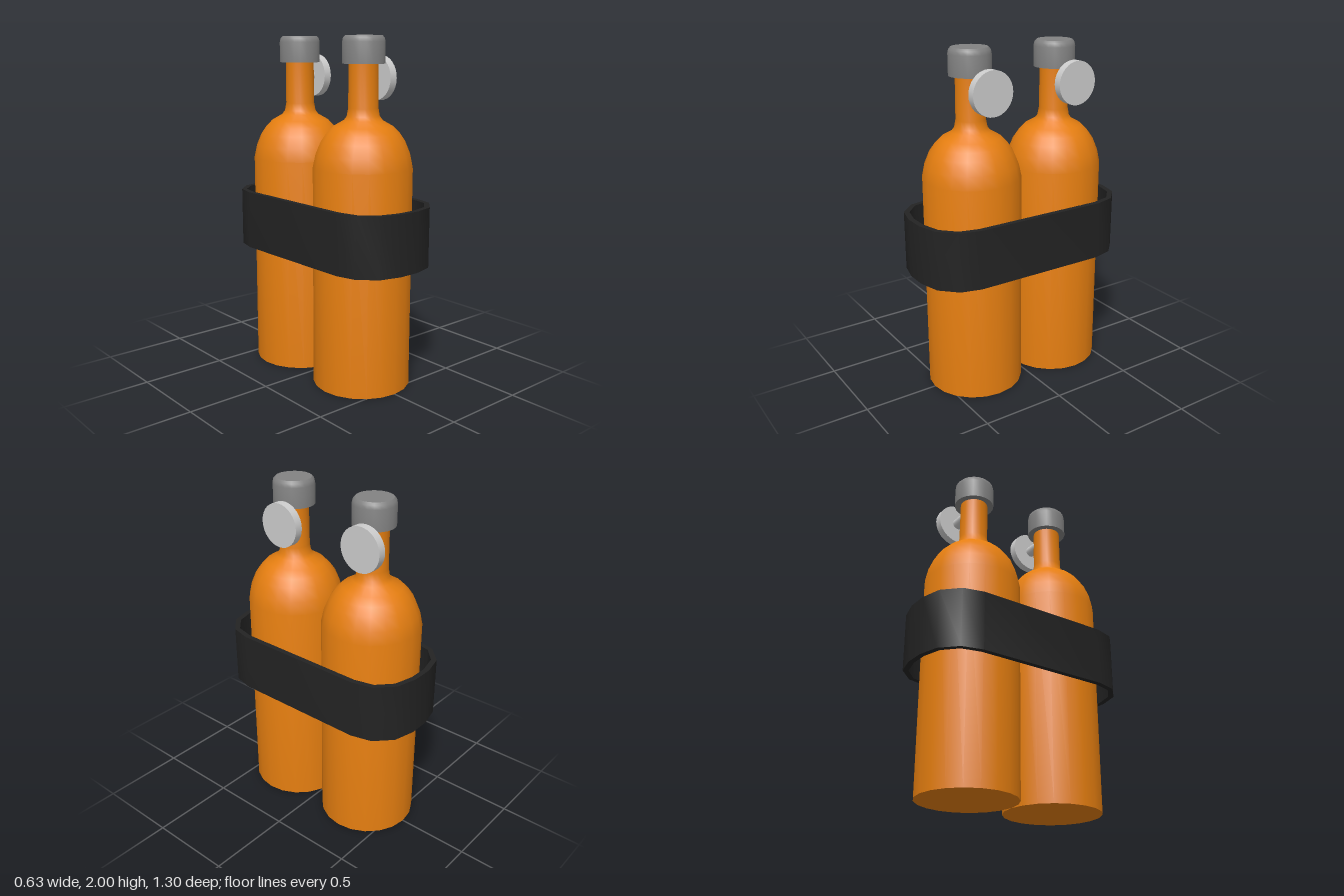
import * as THREE from 'three';
import { toCreasedNormals } from 'three/addons/utils/BufferGeometryUtils.js';

const material = (name, color) => {
  const m = new THREE.MeshStandardMaterial({ color });
  m.name = name;
  return m;
};

export function createModel() {
  const orange = material('orange paint', 0xe57e10);
  const grey = material('grey cap', 0x828282);
  const silver = material('light metal', 0xcccccc);
  const black = material('black strap', 0x232323);

  const model = new THREE.Group();
  model.name = 'twinTanks';

  const add = (parent, name, geometry, mat) => {
    const mesh = new THREE.Mesh(geometry, mat);
    mesh.name = name;
    parent.add(mesh);
    return mesh;
  };
  const lathe = (points, sides) => toCreasedNormals(
    new THREE.LatheGeometry(points.map(([r, y]) => new THREE.Vector2(r, y)), sides), 0.8);

  // Bottle: straight wall, domed shoulder, narrow neck
  const bottleGeo = lathe([
    [0, 0], [0.283, 0], [0.283, 1.275], [0.267, 1.35], [0.238, 1.42], [0.207, 1.465],
    [0.17, 1.503], [0.11, 1.537], [0.093, 1.56], [0.085, 1.605], [0.083, 1.86], [0, 1.86],
  ], 20);
  // Cap with a rounded upper rim
  const capGeo = lathe([
    [0, 1.847], [0.12, 1.847], [0.12, 1.965], [0.115, 1.987], [0.103, 2], [0, 2],
  ], 20);
  const stemGeo = new THREE.CylinderGeometry(0.033, 0.033, 0.1, 16).rotateZ(Math.PI / 2);
  const wheelGeo = new THREE.CylinderGeometry(0.127, 0.127, 0.048, 32).rotateZ(Math.PI / 2);

  for (const [name, z] of [['frontTank', 0.275], ['backTank', -0.293]]) {
    const tank = new THREE.Group();
    tank.name = name;
    tank.position.z = z;
    add(tank, 'bottle', bottleGeo, orange);
    add(tank, 'cap', capGeo, grey);
    // Valve on the side of the neck, slightly behind its axis
    add(tank, 'valveStem', stemGeo, silver).position.set(0.085, 1.766, -0.041);
    add(tank, 'valveWheel', wheelGeo, silver).position.set(0.148, 1.766, -0.041);
    model.add(tank);
  }

  // Strap: one quarter of each outline, mirrored into a closed loop
  const loop = (q) => [
    ...q,
    ...q.map(([x, z]) => [-x, z]).reverse(),
    ...q.map(([x, z]) => [-x, -z]),
    ...q.map(([x, z]) => [x, -z]).reverse(),
  ].map(([x, z]) => new THREE.Vector2(x, z));
  const outline = new THREE.Shape(loop(
    [[0.313, 0.405], [0.281, 0.527], [0.187, 0.619], [0.062, 0.651]]));
  outline.holes.push(new THREE.Path(loop(
    [[0.281, 0.4], [0.254, 0.513], [0.171, 0.591], [0.057, 0.62]])));
  const strapGeo = new THREE.ExtrudeGeometry(outline, { depth: 0.345, bevelEnabled: false });
  strapGeo.rotateX(-Math.PI / 2).translate(0, 0.725, 0);
  add(model, 'strap', toCreasedNormals(strapGeo, 0.7), black);

  return model;
}
